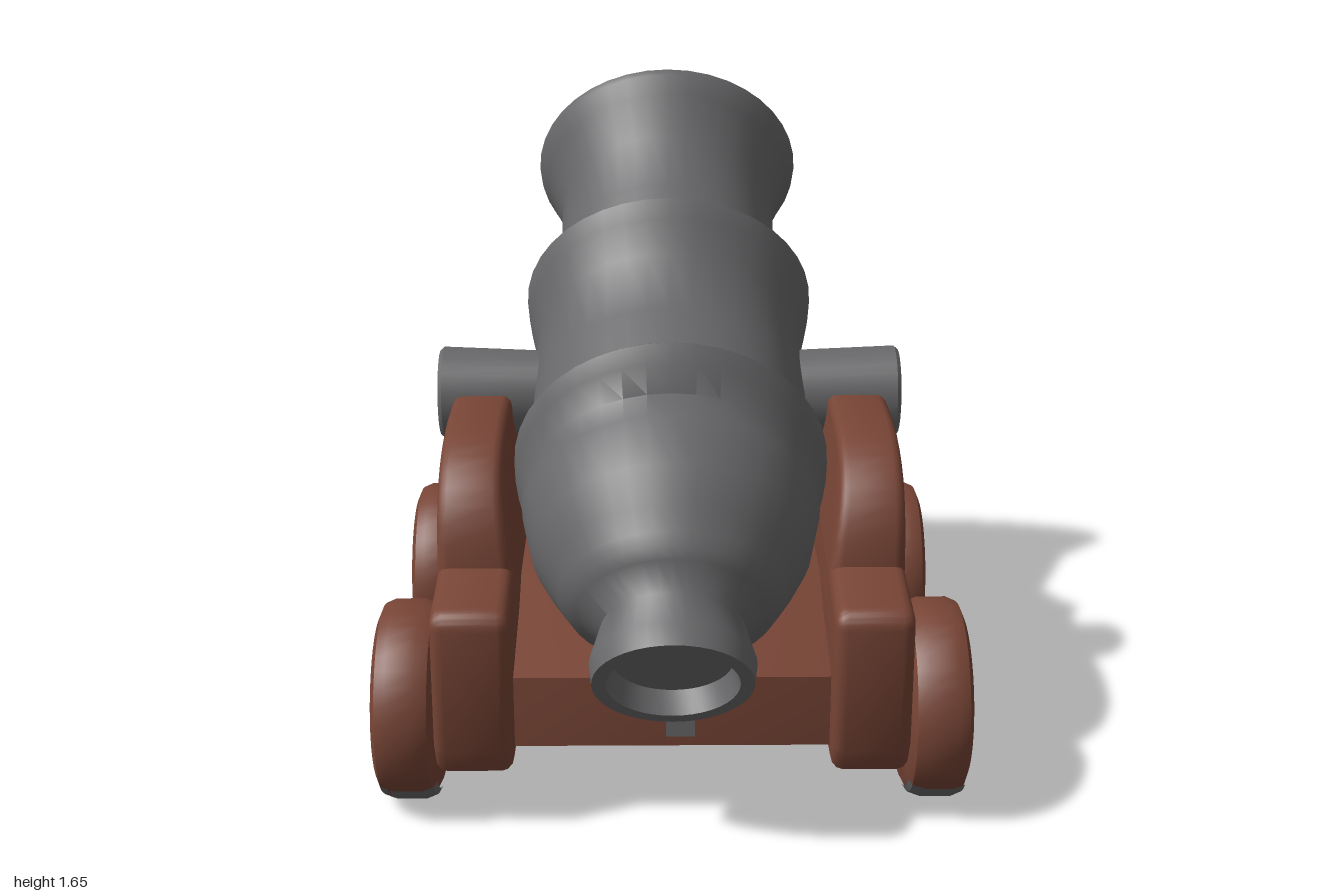
import * as THREE from 'three';
import { toCreasedNormals } from 'three/addons/utils/BufferGeometryUtils.js';

const iron = new THREE.MeshStandardMaterial({ color: 0x68686a });
iron.name = 'iron grey';
const wood = new THREE.MeshStandardMaterial({ color: 0x784536 });
wood.name = 'reddish brown wood';

// Barrel stations from breech to muzzle: z and y of the ring's top, radius, tilt in degrees
const STATIONS = [
  [0.835, 0.483, 0, 37], [0.919, 0.595, 0.14, 37], [0.978, 0.572, 0.155, 37], // breech recess
  [1.0, 0.6, 0.188, 37], [0.955, 0.635, 0.195, 36], [0.88, 0.675, 0.17, 35],  // knob
  [0.855, 0.745, 0.225, 34], [0.85, 0.775, 0.25, 33], [0.82, 0.8, 0.27, 33], [0.79, 0.855, 0.3, 32],
  [0.72, 0.93, 0.34, 30], [0.61, 1.01, 0.367, 28], [0.535, 1.04, 0.374, 26],
  [0.515, 1.11, 0.388, 24], [0.49, 1.152, 0.392, 24], [0.445, 1.14, 0.388, 24], // rear band
  [0.396, 1.06, 0.358, 24], [0.2, 1.16, 0.36, 27], [0, 1.257, 0.36, 29],
  [-0.025, 1.345, 0.38, 30], [-0.064, 1.39, 0.388, 31], [-0.105, 1.365, 0.375, 32], // middle band
  [-0.14, 1.267, 0.31, 35], [-0.3, 1.377, 0.303, 35], [-0.465, 1.49, 0.305, 34],
  [-0.53, 1.595, 0.35, 33], [-0.555, 1.645, 0.372, 32], [-0.575, 1.657, 0.376, 32],
  [-0.6, 1.642, 0.358, 34], [-0.618, 1.61, 0.325, 35], // rounded flared lip
  [-0.635, 1.572, 0.27, 35], [-0.628, 1.535, 0.242, 35], [-0.55, 1.465, 0.225, 35],
  [-0.34, 1.315, 0.21, 35], [-0.37, 1.21, 0.12, 35], [-0.42, 1.1, 0, 35], // bore
];

function barrelGeometry(n = 40) {
  const pos = [], index = [];
  STATIONS.forEach(([z, y, r, deg], i) => {
    const t = THREE.MathUtils.degToRad(deg);
    for (let j = 0; j < n; j++) {
      const a = (j / n) * Math.PI * 2, drop = r * (Math.cos(a) - 1);
      pos.push(r * Math.sin(a), y + drop * Math.cos(t), z + drop * Math.sin(t));
      if (i === STATIONS.length - 1) continue;
      const p = i * n + j, q = i * n + (j + 1) % n;
      index.push(p, q, p + n, q, q + n, p + n);
    }
  });
  const g = new THREE.BufferGeometry();
  g.setAttribute('position', new THREE.Float32BufferAttribute(pos, 3));
  g.setIndex(index);
  return toCreasedNormals(g, 0.9);
}

// Extrudes an outline drawn in z and y to a given width across x, centred on x = 0
function plank(shape, width, bevel) {
  const g = new THREE.ExtrudeGeometry(shape, {
    depth: width - 2 * bevel, bevelSize: bevel, bevelThickness: bevel, bevelOffset: -bevel,
    bevelSegments: 3, curveSegments: 10,
  });
  return g.translate(0, 0, bevel - width / 2).rotateY(-Math.PI / 2);
}

// Stepped side plank, thinner towards the top
function cheekGeometry(side) {
  const s = new THREE.Shape();
  s.moveTo(0.74, 0.155);
  s.lineTo(0.775, 0.22);
  s.lineTo(0.78, 0.53);
  s.quadraticCurveTo(0.78, 0.575, 0.73, 0.58);
  s.lineTo(0.56, 0.605);
  s.bezierCurveTo(0.55, 0.8, 0.42, 0.885, 0.2, 0.89);
  s.lineTo(-0.29, 0.89);
  s.quadraticCurveTo(-0.49, 0.86, -0.5, 0.66);
  s.lineTo(-0.51, 0.22);
  s.lineTo(-0.47, 0.165);
  s.closePath();
  const g = plank(s, 0.19, 0.03), p = g.attributes.position;
  for (let i = 0; i < p.count; i++) {
    const thin = 1 - 0.18 * THREE.MathUtils.smoothstep(p.getY(i), 0.5, 0.85);
    p.setX(i, side * 0.57 + (p.getX(i) - side * 0.095) * thin);
  }
  return toCreasedNormals(g, 0.6);
}

// Floor of the carriage, dropping towards the front under the breech
function bedGeometry() {
  const s = new THREE.Shape(
    [[0.7, 0.2], [0.7, 0.38], [0.3, 0.49], [-0.46, 0.49], [-0.46, 0.2]].map(p => new THREE.Vector2(...p)));
  return toCreasedNormals(plank(s, 0.88, 0.012), 0.6);
}

const lathe = (pts, seg, start = 0, length = Math.PI * 2) =>
  toCreasedNormals(new THREE.LatheGeometry(pts.map(p => new THREE.Vector2(...p)), seg, start, length), 0.6);

export function createModel() {
  const model = new THREE.Group();
  const add = (name, geo, mat, x = 0, y = 0, z = 0, parent = model) => {
    const m = new THREE.Mesh(geo, mat);
    m.name = name;
    m.position.set(x, y, z);
    parent.add(m);
    return m;
  };

  add('barrel', barrelGeometry(), iron);
  add('carriageBed', bedGeometry(), wood);
  add('bedFrontMark', new THREE.BoxGeometry(0.07, 0.09, 0.006), iron, 0.02, 0.27, 0.701);
  add('bedTopMark', new THREE.BoxGeometry(0.72, 0.006, 0.42), iron, 0, 0.491, 0);

  const trunnion = lathe([[0, 0], [0.1, 0], [0.114, 0.355], [0.106, 0.365], [0, 0.365]], 28);
  const wheel = lathe([[0, -0.075], [0.205, -0.075], [0.234, -0.06], [0.245, -0.03], [0.245, 0.04],
    [0.234, 0.065], [0.205, 0.077], [0, 0.077]], 36);
  const hub = lathe([[0.083, 0.07], [0.083, 0.085], [0.072, 0.093], [0, 0.093]], 24);
  // Worn grey patch wrapping the lower tread
  const patch = lathe([[0.222, -0.07], [0.237, -0.061], [0.248, -0.03], [0.248, 0.04], [0.237, 0.067],
    [0.222, 0.074]], 12, Math.PI / 2 - 0.88, 1.76);

  for (const side of [1, -1]) {
    const label = side > 0 ? 'left' : 'right';
    const turn = -side * Math.PI / 2;
    add(label + 'Cheek', cheekGeometry(side), wood);
    const pin = add(label + 'Trunnion', trunnion, iron, side * 0.245, 0.868, -0.043);
    pin.rotation.z = turn;
    pin.scale.x = 1.08;
    for (const [end, z] of [['Front', 0.537], ['Rear', -0.318]]) {
      const w = new THREE.Group();
      w.name = label + end + 'Wheel';
      w.position.set(side * 0.644, 0.252, z);
      add('wheelDisc', wheel, wood, 0, 0, 0, w).rotation.z = turn;
      add('hubCap', hub, wood, 0, 0.008, 0, w).rotation.z = turn;
      add('treadPatch', patch, iron, 0, 0, 0, w).rotation.z = -Math.PI / 2;
      model.add(w);
    }
  }
  // Short axles joining the wheels to the bed
  for (const z of [0.537, -0.318]) {
    add('axle', new THREE.CylinderGeometry(0.06, 0.06, 1.2, 16), wood, 0, 0.27, z).rotation.z = Math.PI / 2;
  }
  return model;
}
